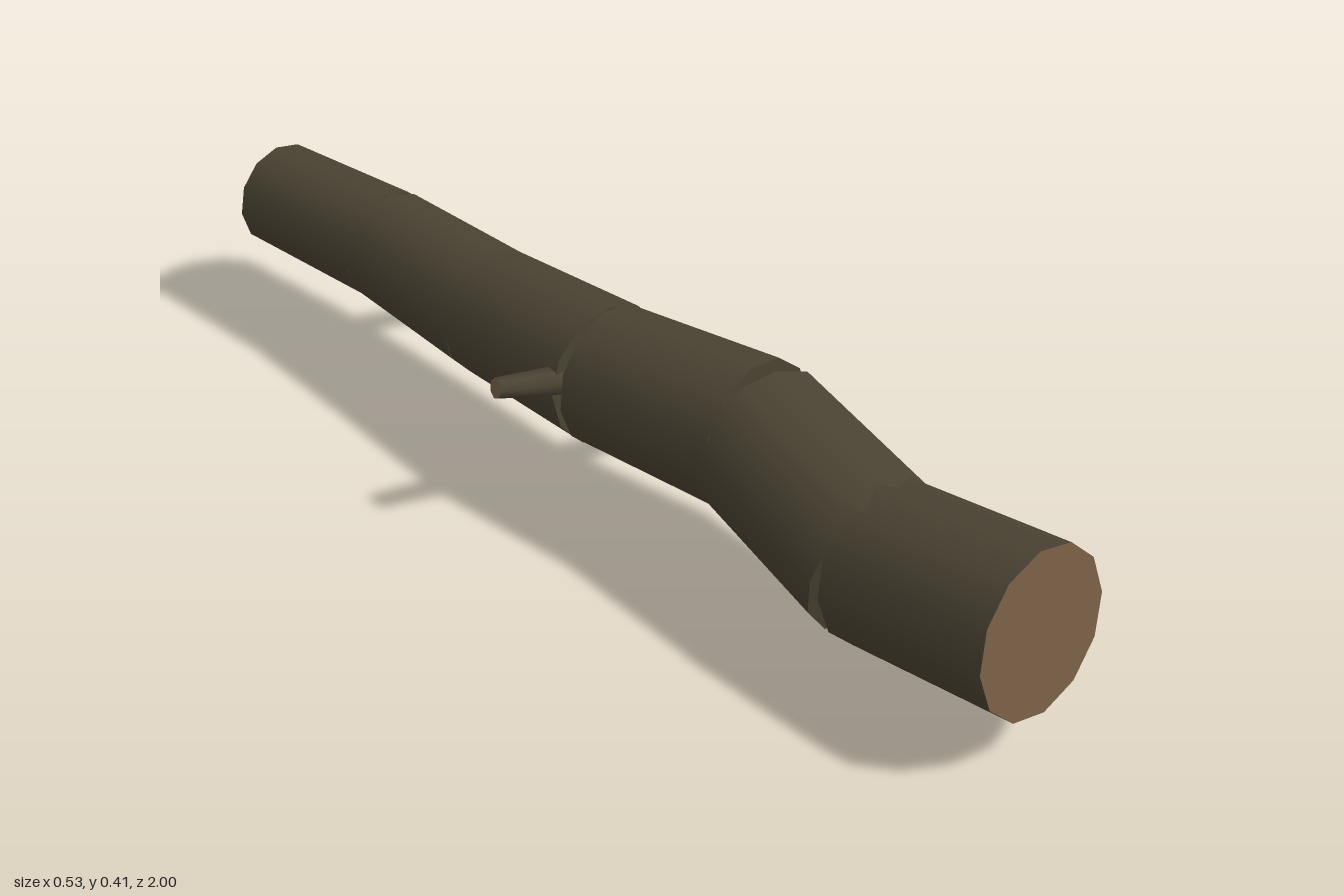
import * as THREE from 'three';

export function createModel() {
  const bark = new THREE.MeshStandardMaterial({ color: 0x4a4333 });
  bark.name = 'bark';
  const wood = new THREE.MeshStandardMaterial({ color: 0x7a6046 });
  wood.name = 'cut wood';

  const model = new THREE.Group();
  model.name = 'log';
  const up = new THREE.Vector3(0, 1, 0);

  // Tapered straight piece between two points; materials are side, end cap, start cap
  function piece(name, a, b, ra, rb, sides, materials) {
    const start = new THREE.Vector3(...a);
    const dir = new THREE.Vector3(...b).sub(start);
    const mesh = new THREE.Mesh(new THREE.CylinderGeometry(rb, ra, dir.length(), sides), materials);
    mesh.name = name;
    mesh.position.copy(start).addScaledVector(dir, 0.5);
    mesh.quaternion.setFromUnitVectors(up, dir.normalize());
    model.add(mesh);
  }

  // Trunk joints from front to back: x, y, z, radius
  const joints = [
    [-0.025, 0.243, 0.985, 0.147],
    [-0.037, 0.211, 0.655, 0.144],
    [0.004, 0.275, 0.33, 0.14],
    [-0.035, 0.265, 0, 0.13],
    [-0.025, 0.246, -0.33, 0.12],
    [-0.015, 0.248, -0.66, 0.11],
    [-0.035, 0.241, -0.992, 0.104],
  ];
  const last = joints.length - 2;
  for (let i = 0; i <= last; i++) {
    const a = joints[i], b = joints[i + 1];
    // Only the two outer ends are sawn faces
    piece('trunkSegment' + (i + 1), a.slice(0, 3), b.slice(0, 3), a[3], b[3], 12,
      [bark, i === last ? wood : bark, i === 0 ? wood : bark]);
  }

  // Broken side branches with cut tips
  const branch = [bark, wood, bark];
  piece('rightBranch', [-0.08, 0.275, -0.008], [-0.26, 0.308, -0.04], 0.03, 0.019, 7, branch);
  piece('leftFrontBranch', [0.05, 0.205, -0.02], [0.173, 0.101, -0.06], 0.034, 0.02, 7, branch);
  piece('leftBackBranch', [0.05, 0.192, -0.675], [0.249, 0.017, -0.712], 0.032, 0.019, 7, branch);

  return model;
}
